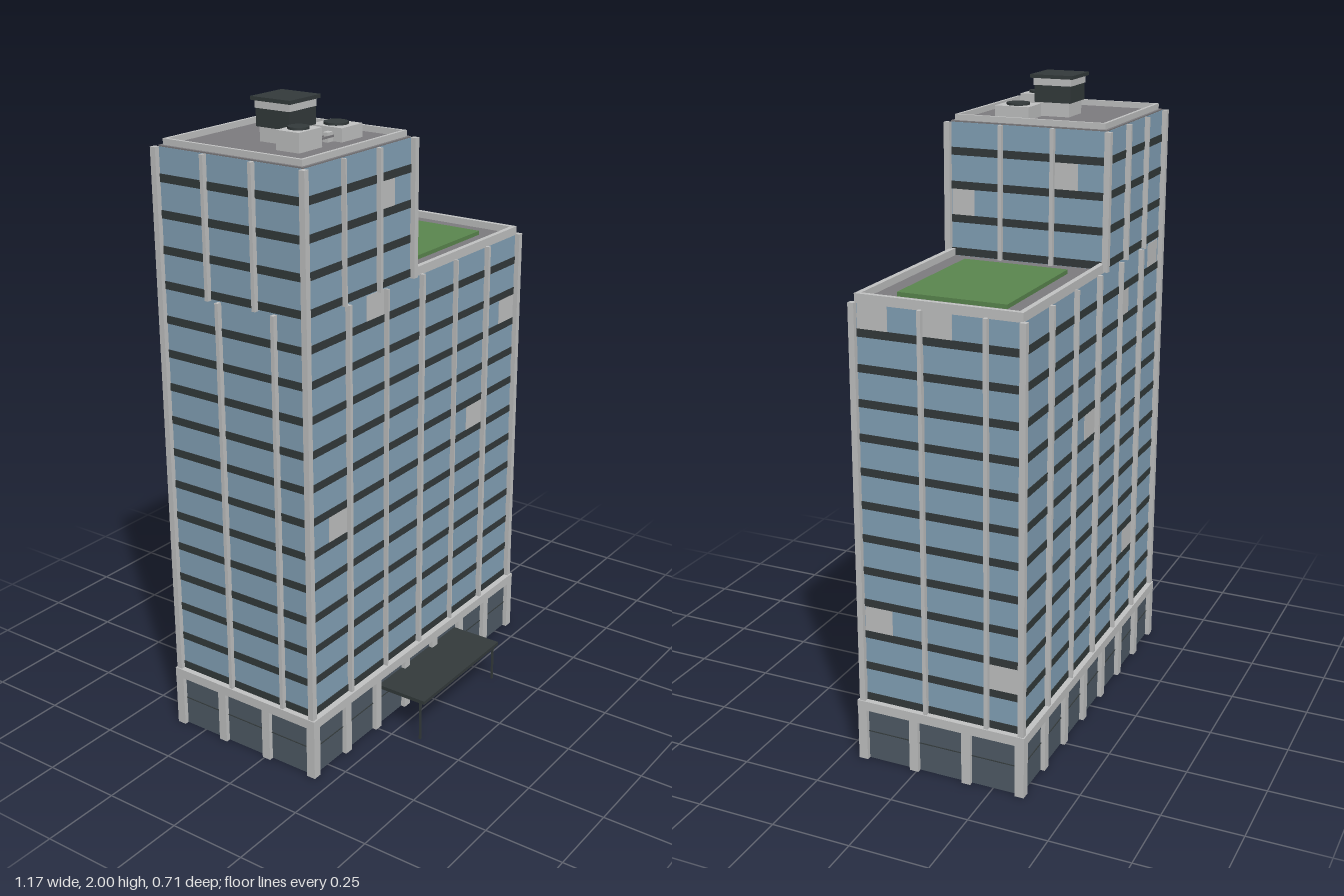
import * as THREE from 'three';

const mat = (name, color) => {
  const m = new THREE.MeshStandardMaterial({ color });
  m.name = name;
  return m;
};

export function createModel() {
  const glass = mat('blue glass', 0x85a4ba);
  const slate = mat('podium glass', 0x505c67);
  const concrete = mat('light concrete', 0xc3c4c4);
  const dark = mat('dark metal', 0x343b3c);
  const roofGrey = mat('roof grey', 0x7e7d80);
  const green = mat('lawn green', 0x5b884f);

  const model = new THREE.Group();
  model.name = 'officeTower';
  const group = (name) => {
    const g = new THREE.Group();
    g.name = name;
    model.add(g);
    return g;
  };

  // Box given by its limits on each axis
  function block(parent, name, m, x0, x1, y0, y1, z0, z1) {
    const mesh = new THREE.Mesh(new THREE.BoxGeometry(x1 - x0, y1 - y0, z1 - z0), m);
    mesh.position.set((x0 + x1) / 2, (y0 + y1) / 2, (z0 + z1) / 2);
    mesh.name = name;
    parent.add(mesh);
  }

  // Box on one facade: u runs along the wall (x or z), a..b is depth outward
  function onWall(parent, name, m, r, side, u0, u1, y0, y1, a, b) {
    if (side === 'front') block(parent, name, m, u0, u1, y0, y1, r.z1 + a, r.z1 + b);
    if (side === 'back') block(parent, name, m, u0, u1, y0, y1, r.z0 - b, r.z0 - a);
    if (side === 'left') block(parent, name, m, r.x1 + a, r.x1 + b, y0, y1, u0, u1);
    if (side === 'right') block(parent, name, m, r.x0 - b, r.x0 - a, y0, y1, u0, u1);
  }

  // Rectangular frame of bars lying inside the limits of r
  function ring(parent, name, m, r, t, y0, y1, closed = true) {
    block(parent, name, m, r.x0, r.x1, y0, y1, r.z1 - t, r.z1);
    block(parent, name, m, r.x0, r.x1, y0, y1, r.z0, r.z0 + t);
    block(parent, name, m, r.x1 - t, r.x1, y0, y1, r.z0 + t, r.z1 - t);
    if (closed) block(parent, name, m, r.x0, r.x0 + t, y0, y1, r.z0 + t, r.z1 - t);
  }

  const rect = (x0, x1, z0, z1) => ({ x0, x1, z0, z1 });
  const main = rect(-0.565, 0.565, -0.335, 0.175);
  const upper = rect(-0.565, -0.055, -0.335, 0.175);
  const sides = ['front', 'back', 'left', 'right'];
  const floorY = (i) => 0.212 + 0.1045 * i;

  // Podium: open-bottomed ring of glazing, columns and a top band
  const podium = group('podium');
  ring(podium, 'podiumBand', concrete, rect(-0.585, 0.585, -0.355, 0.197), 0.035, 0.17, 0.2);
  const wall = rect(-0.57, 0.57, -0.34, 0.182);
  for (const side of sides) {
    const long = side === 'front' || side === 'back';
    const n = long ? 7 : 3;
    const u0 = long ? wall.x0 : wall.z0;
    const step = ((long ? wall.x1 : wall.z1) - u0) / n;
    for (let i = 0; i <= n; i++) {
      const u = u0 + i * step;
      onWall(podium, 'podiumColumn', concrete, wall, side, u - 0.0145, u + 0.0145, 0, 0.17, -0.015, 0.0145);
      if (i === n) continue;
      const door = side === 'front' && i === 3;
      onWall(podium, 'podiumPane', slate, wall, side, u + 0.014, u + step - 0.014, door ? 0.098 : 0, 0.17, -0.008, 0);
      if (!door) onWall(podium, 'paneRail', dark, wall, side, u + 0.0145, u + step - 0.0145, 0.093, 0.095, 0, 0.003);
    }
  }

  // Entrance doors and canopy
  const entrance = group('entrance');
  for (const s of [-1, 1]) {
    block(entrance, 'doorLeaf', concrete, s * 0.038 - 0.027, s * 0.038 + 0.027, 0, 0.088, 0.174, 0.184);
    block(entrance, 'canopyPost', dark, s * 0.22 - 0.003, s * 0.22 + 0.003, 0, 0.132, 0.335, 0.341);
  }
  block(entrance, 'doorFrame', dark, -0.067, 0.067, 0, 0.091, 0.172, 0.178);
  block(entrance, 'doorPost', dark, -0.004, 0.004, 0, 0.09, 0.178, 0.187);
  block(entrance, 'doorSign', green, -0.067, 0.067, 0.091, 0.098, 0.174, 0.184);
  block(entrance, 'canopy', dark, -0.225, 0.225, 0.132, 0.144, 0.182, 0.355);

  // Glass bodies; the lowest storey is hollow and open to the podium
  ring(model, 'lowestGlass', glass, main, 0.01, 0.19, 0.31);
  block(model, 'mainGlass', glass, main.x0, main.x1, 0.31, 1.45, main.z0, main.z1);
  block(model, 'upperGlass', glass, upper.x0, upper.x1, 1.45, 1.868, upper.z0, upper.z1);

  // Dark floor bands
  const bands = group('floorBands');
  for (let i = 0; i < 16; i++) {
    const r = i < 12 ? main : upper;
    const e = 0.002;
    const b = rect(r.x0 - e, r.x1 + e, r.z0 - e, r.z1 + e);
    const y0 = floorY(i) - 0.012;
    const y1 = floorY(i) + 0.012;
    if (i === 0) ring(bands, 'floorBand', dark, b, 0.014, y0, y1);
    else block(bands, 'floorBand', dark, b.x0, b.x1, y0, y1, b.z0, b.z1);
  }

  // Vertical fins, with square posts on the corners
  const fins = group('fins');
  const fin = (r, side, u, y0, y1, w = 0.006) =>
    onWall(fins, 'fin', concrete, r, side, u - w, u + w, y0, y1, 0, 0.016);
  for (const [r, y0, y1] of [[main, 0.2, 1.45], [upper, 1.45, 1.868]]) {
    for (const x of [r.x0 - 0.0065, r.x1 + 0.0065]) {
      for (const z of [r.z0 - 0.0065, r.z1 + 0.0065]) {
        block(fins, 'cornerPost', concrete, x - 0.0095, x + 0.0095, y0, y1, z - 0.0095, z + 0.0095);
      }
    }
  }
  for (const side of ['front', 'back']) {
    for (let i = 1; i < 6; i++) fin(main, side, -0.565 + i * 0.1883, 0.2, 1.45, i === 2 || i === 4 ? 0.003 : 0.006);
    fin(upper, side, -0.395, 1.45, 1.868, 0.003);
    fin(upper, side, -0.225, 1.45, 1.868);
  }
  for (const z of [-0.03, -0.23]) {
    fin(main, 'left', z, 0.2, 1.45);
    fin(main, 'right', -0.16 - z, 0.2, 1.45);
  }
  for (const side of ['left', 'right']) {
    for (const z of [0.005, -0.165]) fin(upper, side, z, 1.45, 1.868);
  }

  // Windows with drawn blinds: side, start and end along the wall, floor
  const blinds = group('blinds');
  const drawn = [
    ['front', -0.47, -0.38, 5], ['front', 0.28, 0.37, 6], ['front', 0.47, 0.56, 9],
    ['front', -0.28, -0.193, 11], ['front', -0.22, -0.14, 14],
    ['left', 0.08, 0.17, 2], ['left', -0.33, -0.232, 1], ['left', 0.075, 0.17, 11],
    ['left', -0.125, -0.035, 11], ['left', 0.095, 0.17, 13], ['left', -0.245, -0.17, 14],
    ['back', -0.55, -0.46, 11], ['back', -0.28, -0.193, 10], ['back', 0.005, 0.09, 7], ['back', -0.37, -0.285, 2],
  ];
  for (const [side, u0, u1, f] of drawn) {
    const r = f < 12 ? main : upper;
    onWall(blinds, 'blind', concrete, r, side, u0, u1, floorY(f) + 0.012, Math.min(floorY(f + 1) - 0.012, f < 12 ? 1.45 : 1.868), 0, 0.0015);
  }

  // Lower roof with three-sided parapet and lawn
  const lowRoof = group('lowerRoof');
  block(lowRoof, 'roofDeck', roofGrey, -0.055, 0.555, 1.45, 1.453, -0.325, 0.165);
  ring(lowRoof, 'parapet', concrete, rect(-0.053, 0.567, -0.337, 0.177), 0.016, 1.447, 1.475, false);
  block(lowRoof, 'lawn', green, 0.03, 0.475, 1.453, 1.466, -0.25, 0.09);

  // Upper roof with parapet
  const topRoof = group('upperRoof');
  block(topRoof, 'roofDeck', roofGrey, -0.564, -0.056, 1.866, 1.872, -0.334, 0.174);
  ring(topRoof, 'parapet', concrete, rect(-0.555, -0.065, -0.325, 0.165), 0.01, 1.868, 1.89);

  // Lift housing
  const lift = group('liftHousing');
  block(lift, 'liftBase', concrete, -0.363, -0.257, 1.87, 1.915, -0.133, -0.027);
  block(lift, 'liftLouvre', dark, -0.37, -0.25, 1.915, 1.967, -0.14, -0.02);
  block(lift, 'liftTop', concrete, -0.372, -0.248, 1.967, 1.989, -0.142, -0.018);
  block(lift, 'liftRoof', dark, -0.38, -0.24, 1.989, 2, -0.15, -0.01);

  // Cooling units with round fans
  const cooling = group('coolingUnits');
  const unit = (x0, x1, z0, z1, top, fx, fz, r) => {
    block(cooling, 'coolingBox', concrete, x0, x1, 1.87, top, z0, z1);
    const fan = new THREE.Mesh(new THREE.CylinderGeometry(r, r, 0.008, 20), dark);
    fan.position.set(fx, top + 0.003, fz);
    fan.name = 'coolingFan';
    cooling.add(fan);
  };
  unit(-0.432, -0.328, -0.02, 0.06, 1.928, -0.38, 0.018, 0.031);
  unit(-0.245, -0.145, -0.045, 0.067, 1.912, -0.195, 0.01, 0.036);
  for (const z of [0.02, 0.036]) block(cooling, 'pipe', roofGrey, -0.328, -0.245, 1.885, 1.891, z - 0.003, z + 0.003);
  block(cooling, 'pipeBox', concrete, -0.27, -0.245, 1.87, 1.9, 0.018, 0.036);

  return model;
}
